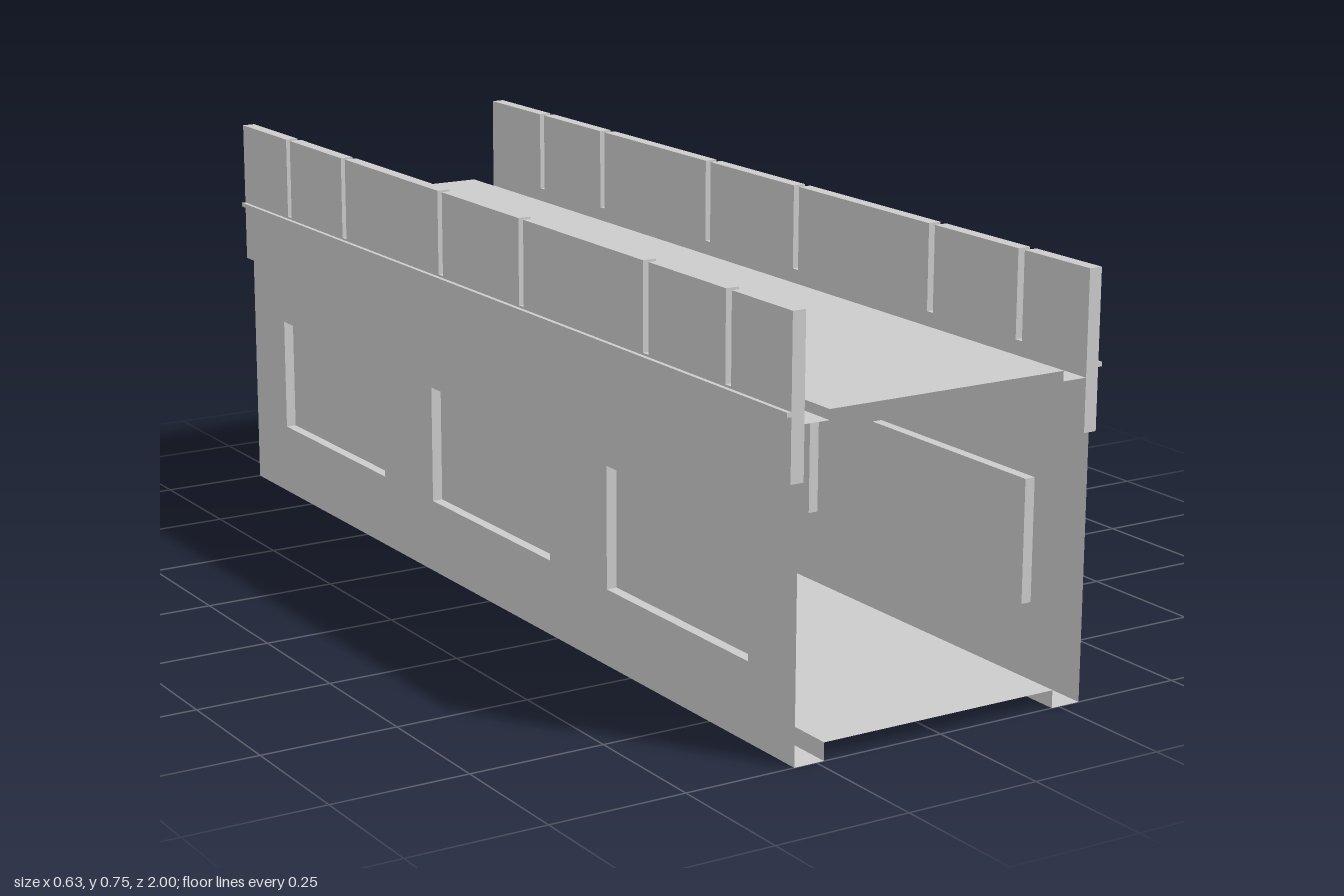
import * as THREE from 'three';

const material = new THREE.MeshStandardMaterial({ color: 0xcccccc, side: THREE.DoubleSide, flatShading: true });

const WALL_X = 0.293, PANE_X = 0.273;
const PARAPET_IN = 0.283, PARAPET_OUT = 0.308;
const PARAPET_BOTTOM = 0.475, PARAPET_TOP = 0.755, NOTCH_Y = 0.597;
const STEP_X = 0.235;

function add(group, name, geometry, x = 0, y = 0, z = 0) {
  const mesh = new THREE.Mesh(geometry, material);
  mesh.name = name;
  mesh.position.set(x, y, z);
  group.add(mesh);
  return mesh;
}

// Thin sheet facing along one axis: 'x' (z by y), 'y' (x by z) or 'z' (x by y)
function sheet(group, name, axis, w, h, x, y, z) {
  const geometry = new THREE.PlaneGeometry(w, h);
  if (axis === 'x') geometry.rotateY(Math.PI / 2);
  if (axis === 'y') geometry.rotateX(-Math.PI / 2);
  return add(group, name, geometry, x, y, z);
}

// Window panels: centre along z, width, bottom and top
const panels = [0.642, 0.002, -0.639].map((z) => ({ z, w: 0.443, y0: 0.14, y1: 0.364 }));

function wallGeometry() {
  const shape = new THREE.Shape();
  shape.moveTo(-1, 0).lineTo(1, 0).lineTo(1, PARAPET_BOTTOM).lineTo(-1, PARAPET_BOTTOM).closePath();
  for (const { z, w, y0, y1 } of panels) {
    const hole = new THREE.Path();
    hole.moveTo(-z - w / 2, y0).lineTo(-z - w / 2, y1).lineTo(-z + w / 2, y1).lineTo(-z + w / 2, y0).closePath();
    shape.holes.push(hole);
  }
  return new THREE.ShapeGeometry(shape).rotateY(Math.PI / 2);
}

// Parapet outline with narrow slots cut down from the top edge
function parapetGeometry() {
  const slots = [-0.821, -0.571, -0.154, 0.147, 0.543, 0.788];
  const half = 0.0085;
  const shape = new THREE.Shape();
  shape.moveTo(1, PARAPET_BOTTOM).lineTo(-1, PARAPET_BOTTOM).lineTo(-1, PARAPET_TOP);
  shape.autoClose = true;
  for (const s of slots) {
    shape.lineTo(s - half, PARAPET_TOP).lineTo(s - half, NOTCH_Y);
    shape.lineTo(s + half, NOTCH_Y).lineTo(s + half, PARAPET_TOP);
  }
  shape.lineTo(1, PARAPET_TOP);
  const depth = PARAPET_OUT - PARAPET_IN;
  return new THREE.ExtrudeGeometry(shape, { depth, bevelEnabled: false })
    .translate(0, 0, -depth / 2)
    .rotateY(Math.PI / 2);
}

// One long side of the span; s is +1 for left, -1 for right
function createSide(s) {
  const side = new THREE.Group();
  side.name = s > 0 ? 'leftSide' : 'rightSide';
  add(side, 'wall', wallGeometry(), s * WALL_X);

  // Recessed panels with their reveals
  const depth = WALL_X - PANE_X, midX = s * (WALL_X + PANE_X) / 2;
  for (const { z, w, y0, y1 } of panels) {
    const h = y1 - y0, y = (y0 + y1) / 2;
    sheet(side, 'recessPanel', 'x', w, h, s * PANE_X, y, z);
    for (const e of [-1, 1]) {
      sheet(side, 'recessJamb', 'z', depth, h, midX, y, z + e * w / 2);
      sheet(side, 'recessSill', 'y', depth, w, midX, y + e * h / 2, z);
    }
  }

  // Parapet and its outer string course
  add(side, 'parapet', parapetGeometry(), s * (PARAPET_IN + PARAPET_OUT) / 2);
  add(side, 'stringCourse', new THREE.BoxGeometry(0.008, 0.008, 2), s * (PARAPET_OUT + 0.004), 0.589, 0);

  // Gutter beside the deck, flange under the wall, and the steps between levels
  sheet(side, 'gutter', 'y', PARAPET_IN - STEP_X, 2, s * (PARAPET_IN + STEP_X) / 2, 0.57, 0);
  sheet(side, 'deckStep', 'x', 2, 0.018, s * STEP_X, 0.579, 0);
  sheet(side, 'bottomFlange', 'y', WALL_X - STEP_X, 2, s * (WALL_X + STEP_X) / 2, 0, 0);
  sheet(side, 'floorStep', 'x', 2, 0.032, s * STEP_X, 0.016, 0);
  return side;
}

export function createModel() {
  const model = new THREE.Group();
  model.name = 'bridgeSpan';
  model.add(createSide(1), createSide(-1));
  sheet(model, 'deck', 'y', 2 * STEP_X, 2, 0, 0.588, 0);
  sheet(model, 'floor', 'y', 2 * STEP_X, 2, 0, 0.032, 0);
  return model;
}
